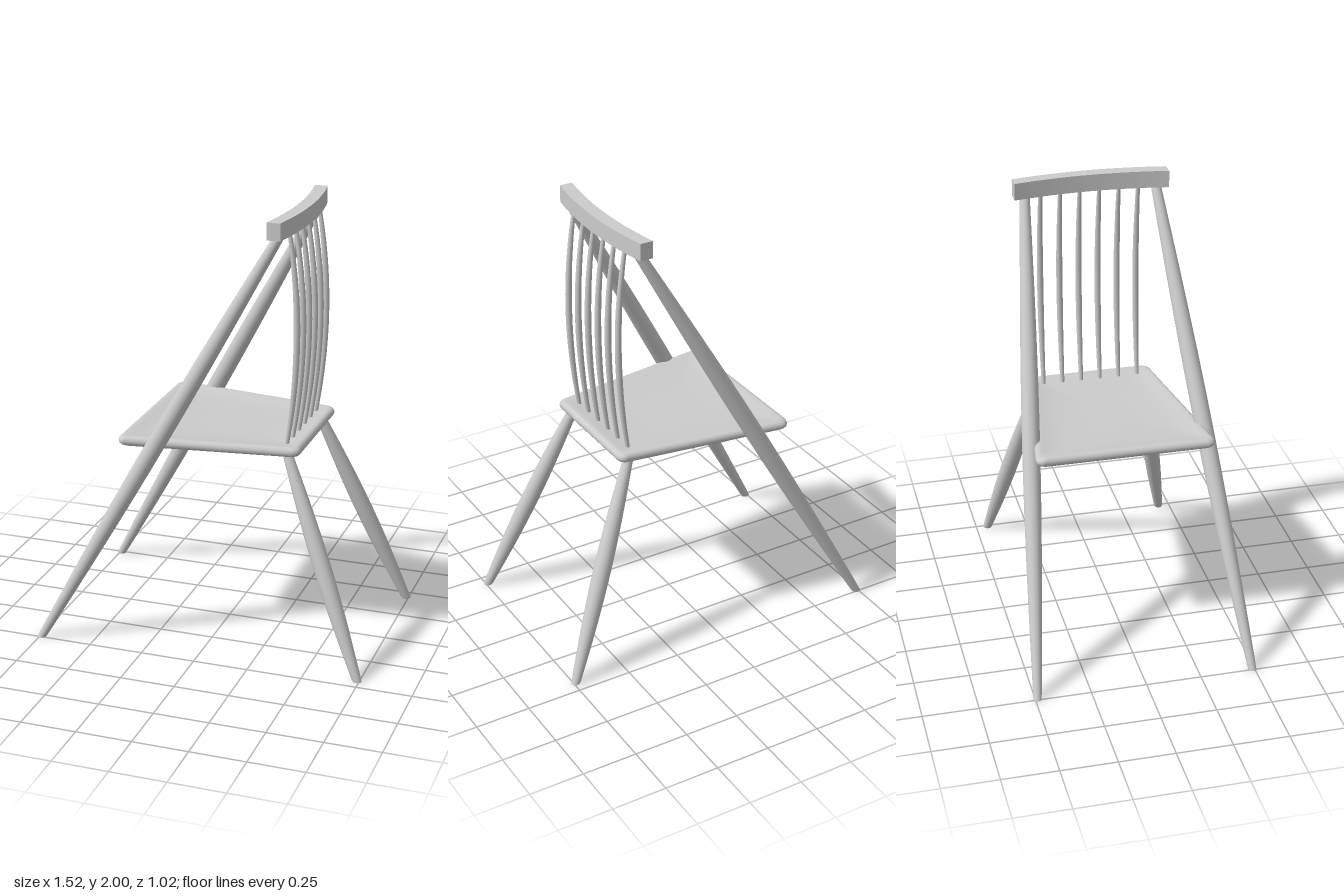
import * as THREE from 'three';

const material = new THREE.MeshStandardMaterial({ color: 0xcccccc });

function addMesh(parent, name, geometry) {
  const mesh = new THREE.Mesh(geometry, material);
  mesh.name = name;
  parent.add(mesh);
}

// Joins equal-length rings of Vector3 into a smooth closed skin with capped ends.
function loft(rings) {
  const n = rings[0].length, pos = [], idx = [];
  for (const ring of rings) for (const p of ring) pos.push(p.x, p.y, p.z);
  for (let i = 0; i < rings.length - 1; i++) {
    for (let j = 0; j < n; j++) {
      const a = i * n + j, b = i * n + (j + 1) % n;
      idx.push(a, b, a + n, b, b + n, a + n);
    }
  }
  // caps have their own vertices so the rims stay sharp
  for (const [ring, last] of [[rings[0], false], [rings[rings.length - 1], true]]) {
    const base = pos.length / 3;
    const centre = new THREE.Vector3();
    ring.forEach((p) => { pos.push(p.x, p.y, p.z); centre.addScaledVector(p, 1 / n); });
    pos.push(centre.x, centre.y, centre.z);
    for (let j = 0; j < n; j++) {
      const a = base + j, b = base + (j + 1) % n;
      if (last) idx.push(a, b, base + n); else idx.push(b, a, base + n);
    }
  }
  const g = new THREE.BufferGeometry();
  g.setAttribute('position', new THREE.Float32BufferAttribute(pos, 3));
  g.setIndex(idx);
  g.computeVertexNormals();
  return g;
}

// Round rod along a curve, swelling in the middle; anything below the floor is cut flat.
function turnedRod(curve, rStart, rMid, rEnd, steps, sides) {
  const rings = [];
  for (let i = 0; i <= steps; i++) {
    const t = i / steps;
    const c = curve.getPoint(t), dir = curve.getTangent(t);
    const u = new THREE.Vector3(0, 0, 1).cross(dir).normalize();
    const v = dir.clone().cross(u);
    const base = rStart + (rEnd - rStart) * t;
    const r = base + (rMid - (rStart + rEnd) / 2) * Math.sin(Math.PI * t);
    const ring = [];
    for (let j = 0; j < sides; j++) {
      const a = (j / sides) * Math.PI * 2;
      const p = c.clone().addScaledVector(u, r * Math.cos(a)).addScaledVector(v, r * Math.sin(a));
      if (p.y < 0) p.addScaledVector(dir, -p.y / dir.y);
      ring.push(p);
    }
    rings.push(ring);
  }
  return loft(rings);
}

// Straight leg from a floor point to its upper joint, begun a little below the floor.
function leg(foot, top, rFoot, rMid, rTop) {
  const start = foot.clone().addScaledVector(top.clone().sub(foot), -0.03 / top.y);
  return turnedRod(new THREE.LineCurve3(start, top), rFoot, rMid, rTop, 24, 20);
}

// Rounded trapezoid seat outline, shrunk inward by an inset.
function seatRing(inset, y) {
  const r = 0.035, ring = [];
  const corners = [[0.415, 0.298, 0], [0.415, -0.298, 1], [-0.39, -0.402, 2], [-0.39, 0.402, 3]];
  for (const [x, z, q] of corners) {
    const cx = x - Math.sign(x) * r, cz = z - Math.sign(z) * r;
    for (let k = 0; k <= 6; k++) {
      const a = Math.PI / 2 - (q + k / 6) * Math.PI / 2;
      const px = cx + r * Math.cos(a), pz = cz + r * Math.sin(a);
      ring.push(new THREE.Vector3(
        0.0125 + (px - 0.0125) * (1 - inset / 0.4), y, pz * (1 - inset / 0.36)));
    }
  }
  return ring;
}

function seatGeometry() {
  const rings = [seatRing(0.1, 0.945), seatRing(0.025, 0.945)];
  // half-round edge
  for (let i = 1; i < 8; i++) {
    const a = -Math.PI / 2 + (i / 8) * Math.PI;
    rings.push(seatRing(0.022 * (1 - Math.cos(a)), 0.9675 + 0.0225 * Math.sin(a)));
  }
  // shallow dished top
  for (const [inset, y] of [[0.025, 0.99], [0.05, 0.986], [0.09, 0.979], [0.15, 0.975], [0.25, 0.973]]) {
    rings.push(seatRing(inset, y));
  }
  return loft(rings);
}

// Top rail: a bowed bar extruded upward.
function railGeometry() {
  const half = 0.35, n = 20, bow = 0.033, thick = 0.06, pts = [];
  const bowAt = (z) => 0.28 + bow * (1 - (z / half) ** 2);
  for (let i = 0; i <= n; i++) {
    const z = -half + (2 * half * i) / n;
    pts.push(new THREE.Vector2(bowAt(z), z));
  }
  for (let i = n; i >= 0; i--) pts.push(new THREE.Vector2(pts[i].x + thick, pts[i].y));
  const g = new THREE.ExtrudeGeometry(new THREE.Shape(pts), { depth: 0.077, bevelEnabled: false });
  g.rotateX(-Math.PI / 2);
  g.translate(0, 1.923, 0);
  return g;
}

export function createModel() {
  const chair = new THREE.Group();
  chair.name = 'chair';

  addMesh(chair, 'seat', seatGeometry());
  addMesh(chair, 'topRail', railGeometry());

  // the long legs run from the floor up to the rail, the short ones stop at the seat
  for (const s of [1, -1]) {
    const side = s > 0 ? 'Left' : 'Right';
    addMesh(chair, 'longLeg' + side, leg(
      new THREE.Vector3(-0.742, 0, 0.49 * s), new THREE.Vector3(0.322, 1.935, 0.297 * s),
      0.018, 0.04, 0.022));
    addMesh(chair, 'shortLeg' + side, leg(
      new THREE.Vector3(0.74, 0, 0.445 * s), new THREE.Vector3(0.348, 0.955, 0.25 * s),
      0.018, 0.039, 0.021));
  }

  // bowed back spindles
  const spindles = new THREE.Group();
  spindles.name = 'backSpindles';
  for (let i = 0; i < 6; i++) {
    const z = (i - 2.5) * 0.0892;
    const curve = new THREE.QuadraticBezierCurve3(
      new THREE.Vector3(0.336, 0.96, z),
      new THREE.Vector3(0.42, 1.47, z),
      new THREE.Vector3(0.34, 1.935, z));
    addMesh(spindles, 'spindle' + (i + 1), turnedRod(curve, 0.009, 0.0145, 0.009, 24, 12));
  }
  chair.add(spindles);
  return chair;
}
